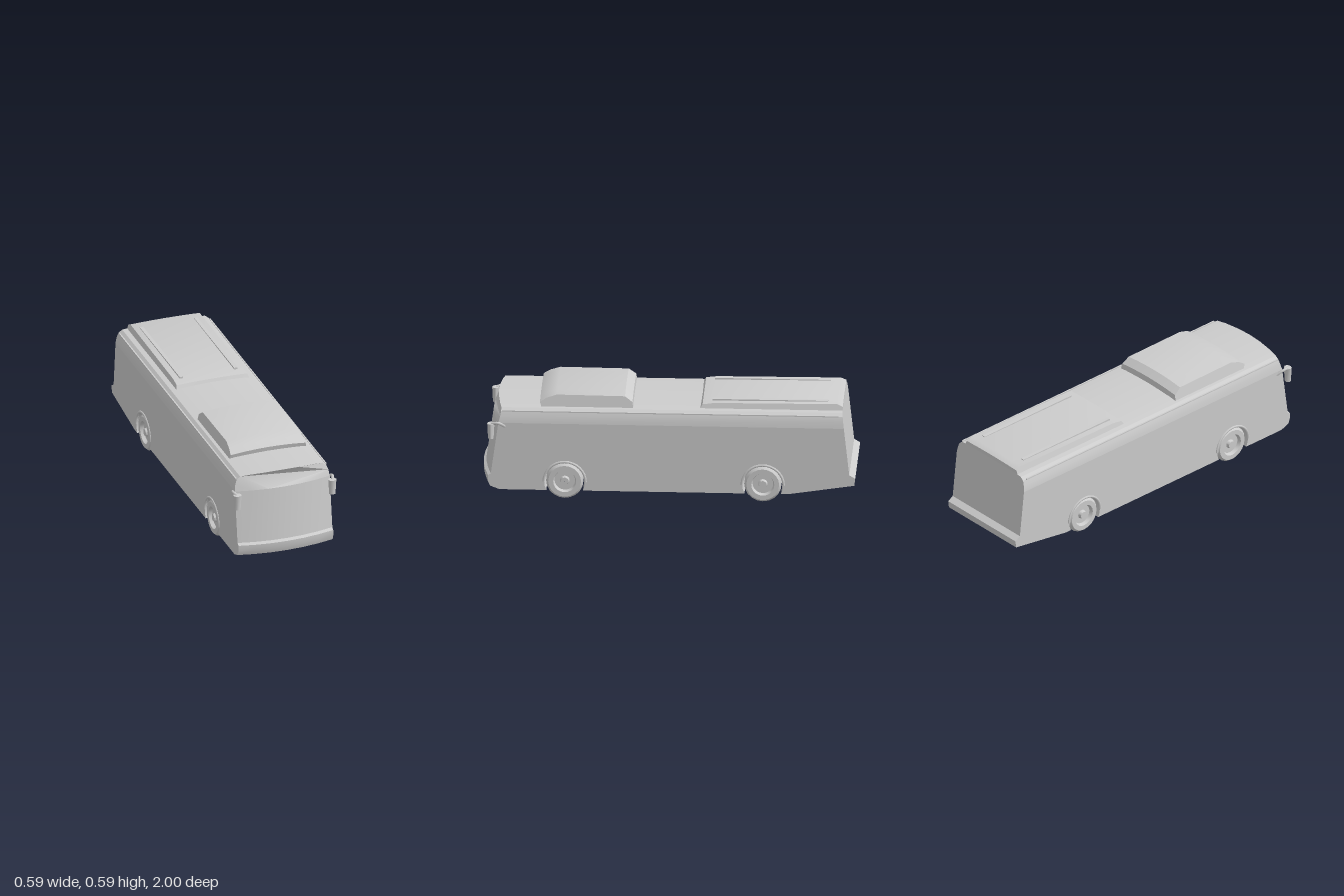
import * as THREE from 'three';
import { toCreasedNormals } from 'three/addons/utils/BufferGeometryUtils.js';

const W = 0.27; // half width of the bus
const AXLES = [0.555, -0.505];
const WAIST = 0.43;

// Move every vertex by a rule, then smooth the gentle edges
function reshape(geometry, rule) {
  const p = geometry.attributes.position;
  const v = new THREE.Vector3();
  for (let i = 0; i < p.count; i++) {
    rule(v.fromBufferAttribute(p, i));
    p.setXYZ(i, v.x, v.y, v.z);
  }
  geometry.deleteAttribute('normal');
  return toCreasedNormals(geometry, 0.5);
}

// Extrude a side profile (z, y) across the width
function acrossWidth(shape, width, steps) {
  const g = new THREE.ExtrudeGeometry(shape, { depth: width, steps, bevelEnabled: false, curveSegments: 8 });
  return g.translate(0, 0, -width / 2).rotateY(-Math.PI / 2);
}

const polygon = (points) => new THREE.Shape(points.map(([x, y]) => new THREE.Vector2(x, y)));

// Front curves back towards the corners
const noseCurve = (x) => 0.035 * (x / W) ** 2;

export function createModel() {
  const bus = new THREE.Group();
  const paint = new THREE.MeshStandardMaterial({ color: 0xcccccc });
  paint.name = 'light grey';

  function add(name, geometry, x = 0, y = 0, z = 0, parent = bus) {
    const mesh = new THREE.Mesh(geometry, paint);
    mesh.name = name;
    mesh.position.set(x, y, z);
    parent.add(mesh);
    return mesh;
  }

  // Lower body with wheel arches cut through the underside
  const side = new THREE.Shape();
  side.moveTo(-0.995, 0.105);
  side.lineTo(-0.64, 0.05);
  for (const z of [...AXLES].reverse()) {
    const r = 0.11;
    const a = Math.asin(0.05 / r);
    side.lineTo(z - r * Math.cos(a), 0.05);
    side.absarc(z, 0.1, r, Math.PI + a, -a, true);
  }
  for (const [z, y] of [[0.94, 0.05], [0.99, 0.07], [1.0, 0.1], [1.0, 0.13], [0.985, 0.14],
    [0.945, WAIST], [-0.939, WAIST], [-0.968, 0.165], [-1.0, 0.145]]) side.lineTo(z, y);
  add('lowerBody', reshape(acrossWidth(side, 2 * W, 6), (v) => {
    if (v.z > 0.9) v.z -= noseCurve(v.x);
  }));

  // Upper body: sides lean in to a gently crowned roof, ends lean inwards
  const half = [[W, WAIST], [0.265, 0.465], [0.255, 0.492], [0.235, 0.507], [0.18, 0.513], [0.09, 0.517]];
  const section = [[0, WAIST], [0.09, WAIST], [0.18, WAIST], ...half, [0, 0.519],
    ...half.map(([x, y]) => [-x, y]).reverse(), [-0.18, WAIST], [-0.09, WAIST]];
  const upper = new THREE.ExtrudeGeometry(polygon(section), { depth: 1, bevelEnabled: false });
  add('upperBody', reshape(upper, (v) => {
    const lean = v.y - WAIST;
    v.z = v.z > 0.5 ? 0.945 - 0.3 * lean - noseCurve(v.x) : -0.939 + 0.11 * lean;
  }));

  // Roof units with tapered sides and a crowned lid
  function roofUnit(name, profile, halfWidth, base, taper, crown) {
    add(name, reshape(acrossWidth(polygon(profile), 2, 6), (v) => {
      const t = v.x;
      v.x = t * (halfWidth - taper * (v.y - base));
      if (v.y > base + 0.02) v.y += crown * (1 - t * t);
    }));
  }
  roofUnit('frontRoofUnit', [[0.19, 0.5], [0.68, 0.5], [0.69, 0.532], [0.655, 0.555], [0.6, 0.573],
    [0.235, 0.57], [0.195, 0.54]], 0.22, 0.5, 0.2, 0.012);
  roofUnit('rearRoofUnit', [[-0.93, 0.5], [-0.16, 0.5], [-0.18, 0.53], [-0.24, 0.538],
    [-0.9, 0.543], [-0.93, 0.53]], 0.21, 0.5, 0.3, 0.004);

  // Long rails on the rear roof unit
  for (const s of [1, -1]) add('roofRail', new THREE.BoxGeometry(0.02, 0.016, 0.62), s * 0.155, 0.54, -0.54);

  // Gutter strips along the roof edge
  for (const s of [1, -1]) add('gutter', new THREE.BoxGeometry(0.008, 0.006, 1.8), s * 0.256, 0.494, -0.01);

  // Wheels with hubs, arch flares and axles
  const tyre = new THREE.LatheGeometry(
    [[0.001, -0.05], [0.085, -0.05], [0.1, -0.035], [0.1, 0.04], [0.088, 0.055], [0.062, 0.055],
      [0.055, 0.035], [0.025, 0.035], [0.02, 0.052], [0.001, 0.052]].map(([r, y]) => new THREE.Vector2(r, y)), 20);
  const tyreGeo = toCreasedNormals(tyre.rotateZ(-Math.PI / 2), 0.5);
  const flare = new THREE.TorusGeometry(0.112, 0.007, 6, 16, Math.PI).rotateY(Math.PI / 2);
  const axle = new THREE.CylinderGeometry(0.02, 0.02, 0.4, 10).rotateZ(Math.PI / 2);
  for (const z of AXLES) {
    for (const s of [1, -1]) {
      const wheel = add('wheel', tyreGeo, s * 0.212, 0.1, z);
      if (s < 0) wheel.rotation.y = Math.PI;
      add('archFlare', flare, s * W, 0.1, z);
      if (z < 0) {
        const inner = add('innerRearWheel', tyreGeo, s * 0.15, 0.1, z);
        if (s < 0) inner.rotation.y = Math.PI;
      }
    }
    add('axle', axle, 0, 0.1, z);
  }

  // Mirrors hung on short arms at the front corners
  const housing = new THREE.CylinderGeometry(0.026, 0.02, 0.085, 8).scale(0.9, 1, 0.75);
  for (const s of [1, -1]) {
    const mirror = new THREE.Group();
    mirror.name = 'mirror';
    bus.add(mirror);
    add('mirrorHousing', toCreasedNormals(housing, 0.9), s * 0.27, 0.385, 0.95, mirror);
    const arm = new THREE.CatmullRomCurve3([
      new THREE.Vector3(s * 0.262, 0.405, 0.87),
      new THREE.Vector3(s * 0.283, 0.432, 0.91),
      new THREE.Vector3(s * 0.272, 0.425, 0.95)]);
    add('mirrorArm', new THREE.TubeGeometry(arm, 8, 0.008, 6), 0, 0, 0, mirror);
  }

  return bus;
}
